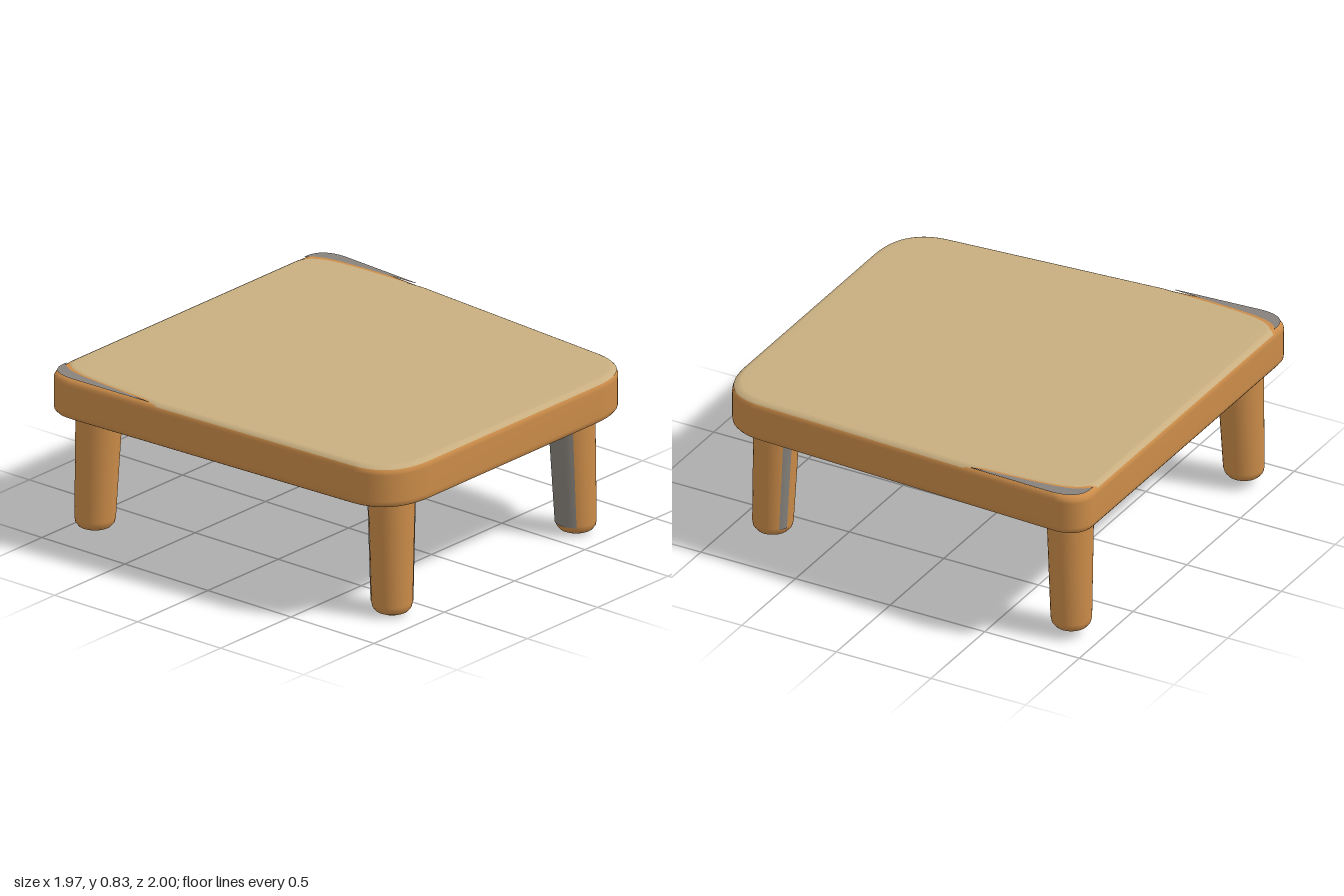
import * as THREE from 'three';

const wood = new THREE.MeshStandardMaterial({ color: 0xcb8c49 });
wood.name = 'orange wood';
const tan = new THREE.MeshStandardMaterial({ color: 0xc8ae80 });
tan.name = 'tan top';
const grey = new THREE.MeshStandardMaterial({ color: 0x87827c, side: THREE.DoubleSide });
grey.name = 'worn grey';

const SLAB_Y = 0.6;
const TILT = -0.0145; // the slab rises slightly toward the back

// Plan outline (x, z): tapered, with large front corners; backCorner draws the +x rear corner
function outline(sideEnd, backStart, c1, c2) {
  const s = new THREE.Shape();
  s.moveTo(0, 1);
  s.lineTo(0.6, 1);
  s.bezierCurveTo(0.77, 1, 0.87, 0.93, 0.885, 0.78);
  s.lineTo(...sideEnd);
  s.bezierCurveTo(...c1, ...c2, ...backStart);
  s.lineTo(-backStart[0], backStart[1]);
  s.bezierCurveTo(-c2[0], c2[1], -c1[0], c1[1], -sideEnd[0], sideEnd[1]);
  s.lineTo(-0.885, 0.78);
  s.bezierCurveTo(-0.87, 0.93, -0.77, 1, -0.6, 1);
  s.lineTo(0, 1);
  const pts = s.getPoints(12);
  pts.pop();
  return pts;
}

// Stack scaled copies of an outline; each ring is [scale, height]
function loft(pts, rings) {
  const n = pts.length, pos = [], idx = [];
  for (const [k, y] of rings)
    for (const p of pts) pos.push(p.x * k, SLAB_Y + y + TILT * p.y * k, p.y * k);
  for (let j = 0; j < rings.length - 1; j++)
    for (let i = 0; i < n; i++) {
      const a = j * n + i, b = j * n + (i + 1) % n;
      idx.push(a, b, b + n, a, b + n, a + n);
    }
  const g = new THREE.BufferGeometry();
  g.setAttribute('position', new THREE.Float32BufferAttribute(pos, 3));
  g.setIndex(idx);
  g.computeVertexNormals();
  return g;
}

// Worn patch on a rear corner of the slab; s is the side
function cornerPatch(s) {
  const p = new THREE.Shape();
  p.moveTo(s * 0.953, -0.4);
  p.lineTo(s * 0.976, -0.84);
  p.bezierCurveTo(s * 0.978, -0.93, s * 0.94, -0.983, s * 0.87, -0.985);
  p.lineTo(s * 0.84, -0.985);
  p.bezierCurveTo(s * 0.935, -0.95, s * 0.92, -0.75, s * 0.948, -0.4);
  const g = new THREE.ShapeGeometry(p, 12).rotateX(Math.PI / 2);
  const a = g.attributes.position;
  for (let i = 0; i < a.count; i++) a.setY(i, SLAB_Y + 0.2095 + TILT * a.getZ(i));
  g.computeVertexNormals();
  return g;
}

// Tapered leg surface leaning so that its outer edge stays vertical
function legSurface(profile, leg, s, start = 0, sweep = Math.PI * 2) {
  const g = new THREE.LatheGeometry(profile.map(p => new THREE.Vector2(...p)), sweep > 6 ? 32 : 10, start, sweep);
  const a = g.attributes.position;
  for (let i = 0; i < a.count; i++) {
    const lean = 0.015 * (1 - a.getY(i) / 0.6);
    a.setX(i, a.getX(i) + s * (leg.x + lean));
    a.setZ(i, a.getZ(i) + leg.z + Math.sign(leg.z) * lean);
  }
  g.computeVertexNormals();
  return g;
}

export function createModel() {
  const model = new THREE.Group();
  model.name = 'lowTable';
  const add = (name, geo, mat, parent = model) => {
    const m = new THREE.Mesh(geo, mat);
    m.name = name;
    parent.add(m);
  };

  // Slab with soft edges and its tan surface
  add('slab', loft(outline([0.987, -0.86], [0.87, -1], [0.99, -0.94], [0.95, -1]), [
    [0, 0], [0.965, 0], [0.975, 0.002], [0.99, 0.01], [0.998, 0.022], [1, 0.04],
    [1, 0.17], [0.998, 0.185], [0.99, 0.2], [0.975, 0.206], [0.965, 0.208], [0, 0.208],
  ]), wood);
  add('topSurface', loft(outline([0.955, -0.35], [0.82, -1], [0.93, -0.75], [0.95, -0.97]), [
    [0.995, 0.196], [0.988, 0.204], [0.975, 0.21], [0.965, 0.212], [0.9, 0.212], [0, 0.212],
  ]), tan);

  const legs = [
    { name: 'frontLeg', x: 0.64, z: 0.802, base: 0 },
    { name: 'backLeg', x: 0.79, z: -0.833, base: 0.03 },
  ];
  for (const s of [1, -1]) {
    const side = s > 0 ? 'Left' : 'Right';
    add('cornerWear' + side, cornerPatch(s), grey);
    for (const leg of legs) {
      const group = new THREE.Group();
      group.name = leg.name + side;
      model.add(group);
      const b = leg.base;
      add('leg', legSurface([
        [0, b], [0.05, b + 0.004], [0.077, b + 0.016], [0.091, b + 0.033], [0.096, b + 0.055], [0.11, 0.63],
      ], leg, s), wood, group);
      // Worn strips on the inner and rear sides of the front legs
      if (b === 0) for (const [from, to] of [[230, 312], [136, 160]]) {
        const start = THREE.MathUtils.degToRad(s > 0 ? from : -to);
        add('wornStrip', legSurface([[0.099, 0.05], [0.113, 0.6]], leg, s, start,
          THREE.MathUtils.degToRad(to - from)), grey, group);
      }
    }
  }
  return model;
}
